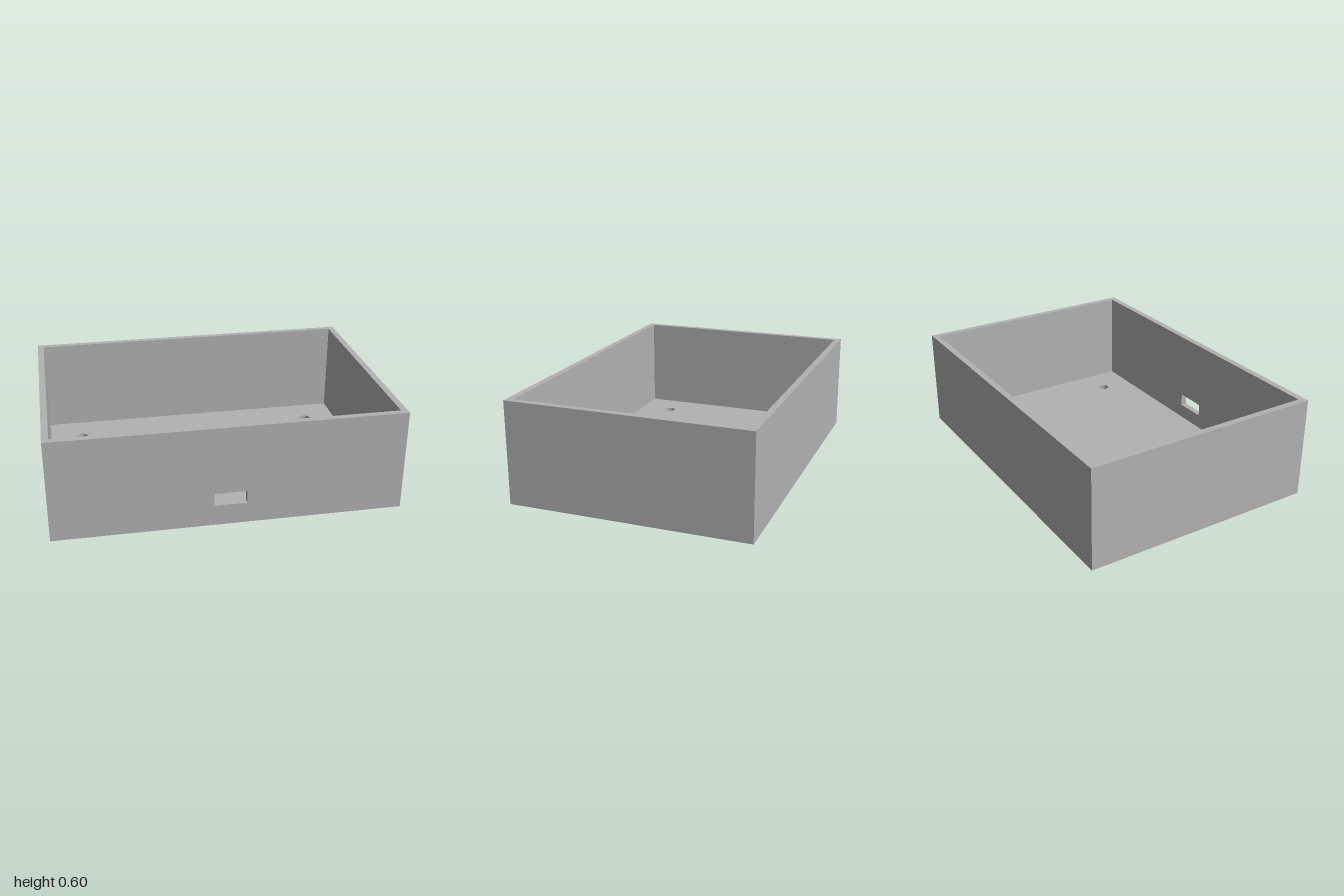
import * as THREE from 'three';

const W = 2, D = 1.4, H = 0.6, T = 0.0375; // outer size and wall thickness

function rect(x0, y0, x1, y1, Kind = THREE.Shape) {
  const s = new Kind();
  s.moveTo(x0, y0);
  s.lineTo(x1, y0);
  s.lineTo(x1, y1);
  s.lineTo(x0, y1);
  s.closePath();
  return s;
}

export function createModel() {
  const group = new THREE.Group();
  group.name = 'openEnclosure';
  const grey = new THREE.MeshStandardMaterial({ color: 0xb2b2b2 });
  grey.name = 'grey plastic';

  const add = (name, geometry, x, y, z) => {
    const mesh = new THREE.Mesh(geometry, grey);
    mesh.name = name;
    mesh.position.set(x, y, z);
    group.add(mesh);
    return mesh;
  };
  const extrude = (shape) =>
    new THREE.ExtrudeGeometry(shape, { depth: T, bevelEnabled: false, curveSegments: 32 });

  // Floor with four round mounting holes
  const floorShape = rect(-W / 2, -D / 2, W / 2, D / 2);
  for (const x of [-0.76, 0.76]) {
    for (const z of [-0.46, 0.46]) {
      const hole = new THREE.Path();
      hole.absarc(x, z, 0.035, 0, Math.PI * 2, true);
      floorShape.holes.push(hole);
    }
  }
  add('floor', extrude(floorShape).rotateX(-Math.PI / 2), 0, 0, 0);

  // Front wall with the cable slot
  const frontShape = rect(-W / 2, T, W / 2, H);
  frontShape.holes.push(rect(-0.094, 0.124, 0.094, 0.199, THREE.Path));
  add('frontWall', extrude(frontShape), 0, 0, D / 2 - T);

  // Plain back and side walls
  const wallH = H - T, midY = (H + T) / 2;
  add('backWall', new THREE.BoxGeometry(W, wallH, T), 0, midY, -(D - T) / 2);
  for (const [name, side] of [['leftWall', 1], ['rightWall', -1]]) {
    add(name, new THREE.BoxGeometry(T, wallH, D - 2 * T), side * (W - T) / 2, midY, 0);
  }
  return group;
}
